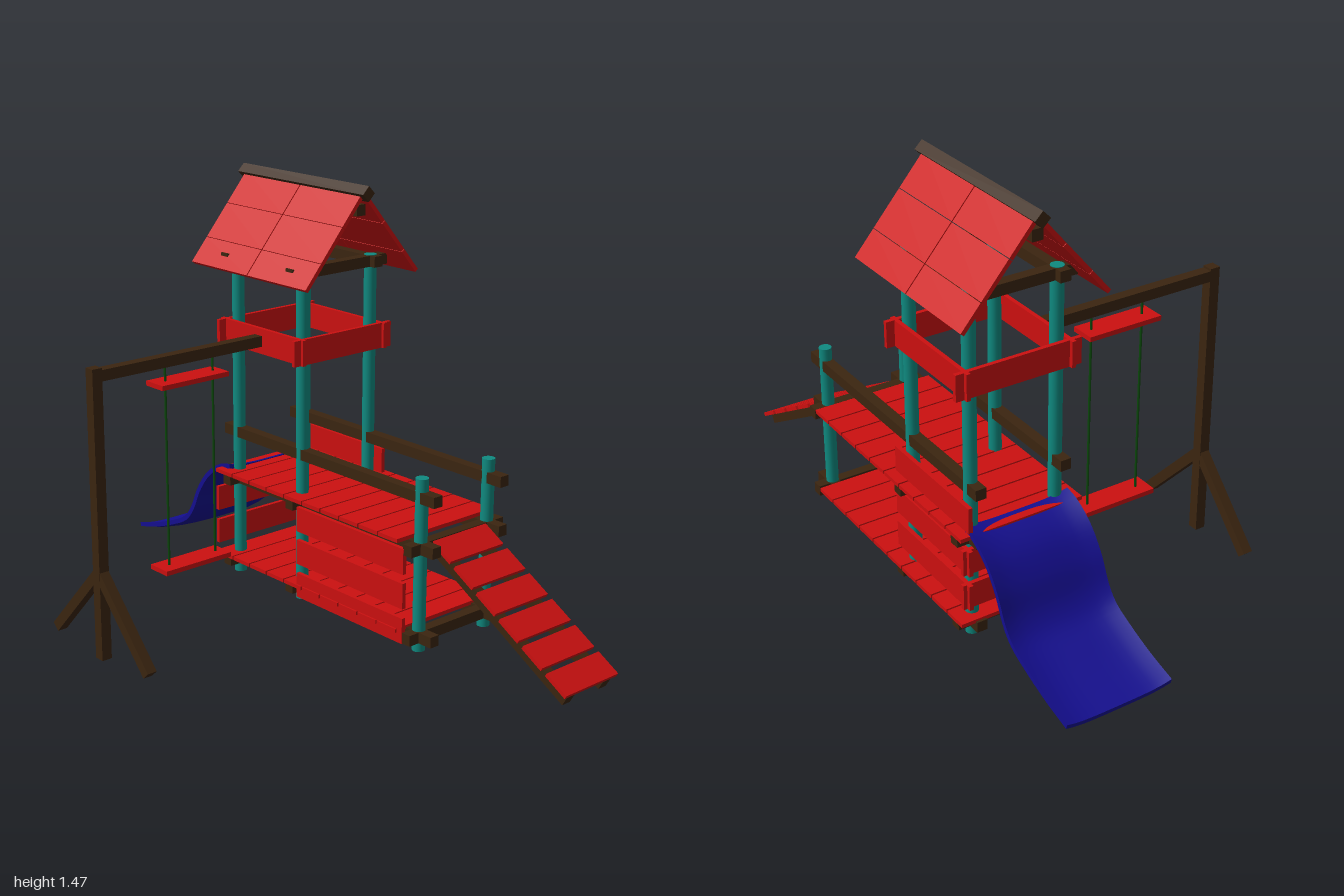
import * as THREE from 'three';

const paint = (color) => new THREE.MeshStandardMaterial({ color });

export function createModel() {
  const model = new THREE.Group();
  const red = paint(0xcc1010), brown = paint(0x3b2510), teal = paint(0x0f8a80);
  const blue = paint(0x140e90), green = paint(0x0a4a0a);

  const add = (name, geometry, material, x = 0, y = 0, z = 0) => {
    const mesh = new THREE.Mesh(geometry, material);
    mesh.name = name;
    mesh.position.set(x, y, z);
    model.add(mesh);
    return mesh;
  };
  // box given by its size and centre
  const box = (name, mat, [w, h, d], [x, y, z]) =>
    add(name, new THREE.BoxGeometry(w, h, d), mat, x, y, z);
  // square beam whose axis runs between two points
  const beam = (name, mat, a, b, size) => {
    const from = new THREE.Vector3(...a), to = new THREE.Vector3(...b);
    const mesh = box(name, mat, [size, size, from.distanceTo(to)], [0, 0, 0]);
    mesh.position.copy(from).lerp(to, 0.5);
    mesh.lookAt(to);
    return mesh;
  };

  const postX = [0.153, 0.447], frontZ = 0.425, towerZ = [-0.13, -0.457];
  const midX = 0.3, timber = 0.036;

  // round posts: two short at the front, four tall for the tower
  for (const x of postX) {
    for (const z of [frontZ, ...towerZ]) {
      const top = z === frontZ ? 0.645 : 1.21, h = top - 0.075;
      add('post', new THREE.CylinderGeometry(0.021, 0.021, h, 20), teal, x, 0.075 + h / 2, z);
    }
    // long rails: base, deck and handrail
    for (const y of [0.125, 0.42, 0.585])
      box('sideRail', brown, [timber, timber, 1.01], [x, y, -0.01]);
    box('towerTopRail', brown, [timber, timber, 0.41], [x, 1.19, -0.295]);
  }
  // cross beams
  for (const z of [frontZ, ...towerZ])
    for (const y of [0.125, 0.42])
      box('crossBeam', brown, [0.41, timber, timber], [midX, y, z]);
  for (const z of towerZ)
    box('towerTopBeam', brown, [0.41, timber, timber], [midX, 1.19, z]);

  // planked floors
  for (const y of [0.144, 0.444])
    for (let i = 0; i < 10; i++)
      box('floorPlank', red, [0.425, 0.013, 0.084], [midX, y, 0.345 - 0.09 * i]);

  // boards around the tower
  const board = 0.085, thick = 0.014;
  for (const z of [-0.102, -0.485])
    box('upperBoard', red, [0.423, board, thick], [midX, 0.937, z]);
  for (const x of [0.123, 0.477])
    box('upperBoard', red, [thick, board, 0.42], [x, 0.937, -0.295]);
  for (const y of [0.5, 0.35, 0.23])
    box('towerSideBoard', red, [thick, board, 0.42], [0.477, y, -0.295]);
  for (const y of [0.35, 0.23])
    box('towerBackBoard', red, [0.42, board, thick], [0.286, y, -0.485]);
  // boards below the bridge on the swing side
  for (const y of [0.38, 0.265, 0.148])
    box('bridgeSideBoard', red, [thick, board, 0.5], [0.1, y, 0.16]);

  // gabled roof: three rows of boards in two bays on each slope
  const ridge = new THREE.Vector2(0.31, 1.44), eave = new THREE.Vector2(0.07, 1.158);
  const slope = ridge.distanceTo(eave), pitch = Math.atan2(ridge.y - eave.y, ridge.x - eave.x);
  const rows = [0, 0.27, 0.64, 1];
  for (const side of [-1, 1])
    for (let r = 0; r < 3; r++)
      for (const z of [-0.16, -0.45]) {
        const t = (rows[r] + rows[r + 1]) / 2;
        const p = eave.clone().lerp(ridge, t);
        const panel = box('roofBoard', red,
          [(rows[r + 1] - rows[r]) * slope - 0.002, 0.014, 0.286],
          [ridge.x + side * (ridge.x - p.x), p.y, z]);
        panel.rotation.z = -side * pitch;
      }
  const cap = box('ridgePole', brown, [0.036, 0.036, 0.62], [0.31, 1.44, -0.305]);
  cap.rotation.z = Math.PI / 4;
  box('roofBeam', brown, [timber, timber, 0.56], [0.306, 1.385, -0.305]);

  // ramp with six treads on two stringers
  const low = new THREE.Vector3(0, 0.09, 0.985), high = new THREE.Vector3(0, 0.41, 0.43);
  const rise = Math.atan2(high.y - low.y, low.z - high.z);
  for (const x of [0.215, 0.378])
    beam('rampStringer', brown, [x, low.y, low.z], [x, high.y, high.z], 0.034);
  for (let i = 0; i < 6; i++) {
    const z = 0.48 + 0.0955 * i;
    const y = high.y - (z - high.z) * Math.tan(rise) + 0.027;
    box('rampTread', red, [0.235, 0.013, 0.09], [0.305, y, z]).rotation.x = rise;
  }

  // slide: a flat box bent along a curve, with turned-up edges
  const path = new THREE.CatmullRomCurve3([
    [0.455, -0.465], [0.445, -0.51], [0.4, -0.58], [0.33, -0.635], [0.24, -0.68],
    [0.195, -0.72], [0.155, -0.8], [0.118, -0.9], [0.092, -0.997],
  ].map(([y, z]) => new THREE.Vector3(0, y, z)));
  const slide = new THREE.BoxGeometry(0.365, 0.016, 1, 12, 1, 32);
  const pos = slide.attributes.position;
  for (let i = 0; i < pos.count; i++) {
    const t = 0.5 - pos.getZ(i), p = path.getPointAt(t), d = path.getTangentAt(t);
    const lift = pos.getY(i) + 0.016 * Math.pow(Math.abs(pos.getX(i)) / 0.1825, 4) - 0.01;
    pos.setY(i, p.y - d.z * lift);
    pos.setZ(i, p.z + d.y * lift);
  }
  slide.computeVertexNormals();
  add('slide', slide, blue, 0.297);

  // swing frame
  const swingX = -0.54, swingZ = -0.302;
  box('swingPost', brown, [timber, 0.965, timber], [swingX, 0.4825, swingZ]);
  box('swingBeam', brown, [0.65, timber, timber], [-0.215, 0.94, swingZ]);
  for (const side of [-1, 1])
    beam('swingBrace', brown, [swingX, 0.295, swingZ],
      [swingX, 0.03, swingZ + side * 0.25], 0.034);
  // swing with its spreader bar and two ropes
  for (const y of [0.242, 0.865])
    box('swingSeat', red, [0.265, 0.016, 0.086], [-0.182, y, swingZ]);
  for (const x of [-0.272, -0.082])
    add('swingRope', new THREE.CylinderGeometry(0.004, 0.004, 0.69, 8), green, x, 0.585, swingZ);

  return model;
}
